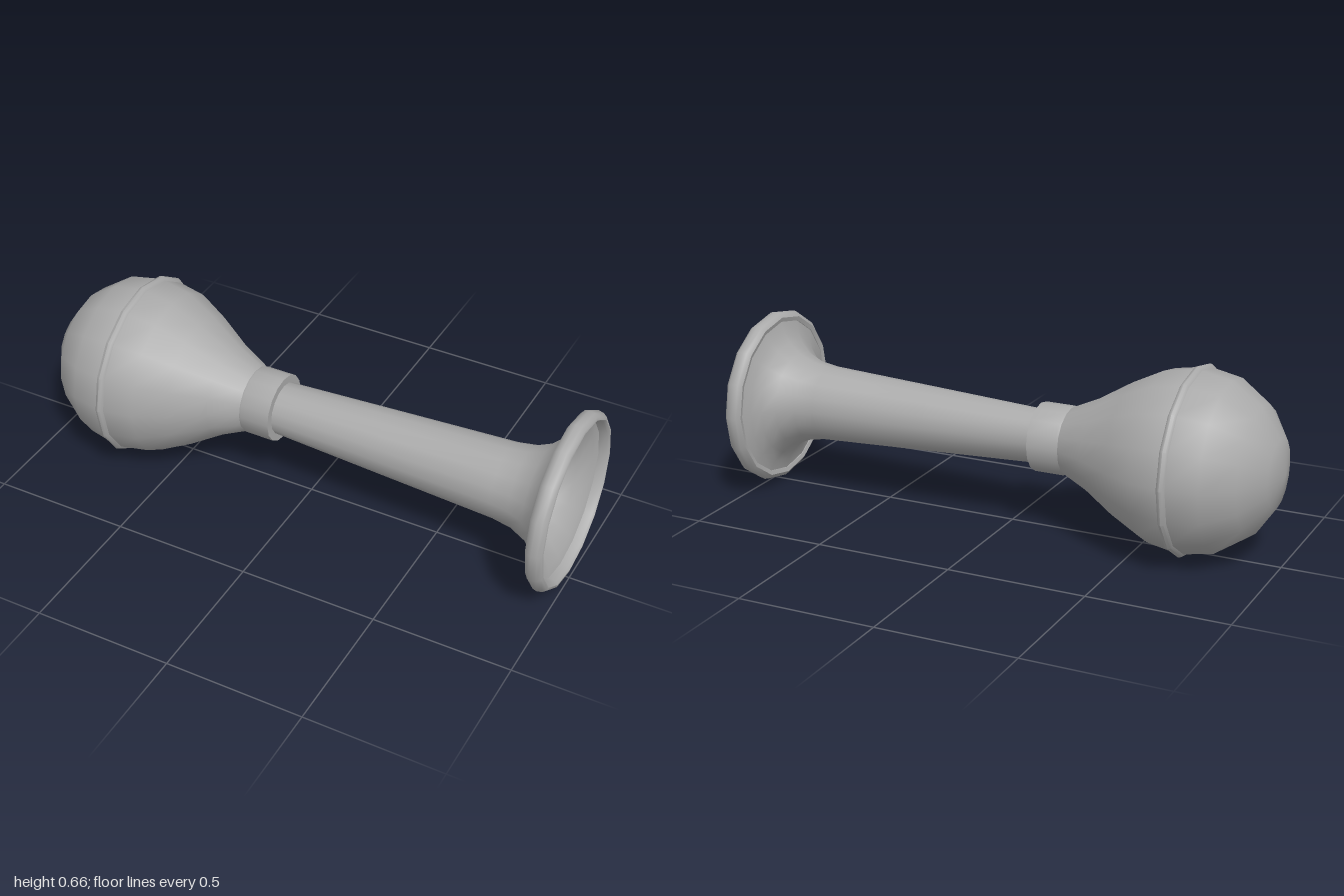
import * as THREE from 'three';
import { toCreasedNormals } from 'three/addons/utils/BufferGeometryUtils.js';

const AXIS_Y = 0.332;

export function createModel() {
  const group = new THREE.Group();
  group.name = 'bulbHorn';
  const grey = new THREE.MeshStandardMaterial({ color: 0xaaaaaa });
  grey.name = 'grey';

  function add(name, geometry) {
    geometry.rotateZ(-Math.PI / 2); // lay the axis along +x
    const mesh = new THREE.Mesh(toCreasedNormals(geometry, 0.75), grey);
    mesh.name = name;
    mesh.position.y = AXIS_Y;
    group.add(mesh);
  }

  // Turns a profile of [x, radius] pairs around the horn's axis
  const turn = (profile) =>
    new THREE.LatheGeometry(profile.map(([x, r]) => new THREE.Vector2(r, x)), 16);

  // Rubber squeeze bulb: round back, tapering neck
  add('bulb', turn([
    [-1, 0], [-0.976, 0.122], [-0.906, 0.226], [-0.80, 0.298], [-0.68, 0.321],
    [-0.56, 0.3], [-0.45, 0.244], [-0.33, 0.17], [-0.24, 0.128], [-0.2, 0.105],
  ]));

  // Raised moulding seam around the widest part
  add('bulbSeam', turn([
    [-0.697, 0.315], [-0.69, 0.328], [-0.68, 0.332], [-0.67, 0.328], [-0.663, 0.315],
  ]));

  // Collar joining bulb and horn
  add('collar', turn([
    [-0.23, 0.09], [-0.23, 0.118], [-0.218, 0.123], [-0.11, 0.123], [-0.11, 0.085],
  ]));

  // Flared horn: outer wall, mouth edge, then inner wall back to the throat
  add('horn', turn([
    [-0.13, 0.094], [0.3, 0.115], [0.74, 0.136], [0.81, 0.147], [0.87, 0.173],
    [0.91, 0.21], [0.932, 0.245], [0.945, 0.285], [0.965, 0.285],
    [0.955, 0.255], [0.92, 0.2], [0.88, 0.162], [0.82, 0.134], [0.74, 0.122],
    [0.3, 0.1], [-0.11, 0.076], [-0.2, 0.044], [-0.2, 0],
  ]));

  // Rolled rim around the mouth
  add('rim', turn([
    [0.965, 0.282], [0.942, 0.284], [0.938, 0.3], [0.95, 0.315], [0.965, 0.319],
    [0.985, 0.315], [0.998, 0.305], [1, 0.295], [0.992, 0.287], [0.965, 0.282],
  ]));

  // Reed end deep in the throat
  const reed = new THREE.CylinderGeometry(0.046, 0.046, 0.02, 6);
  reed.translate(0, -0.185, 0);
  add('reed', reed);

  return group;
}
